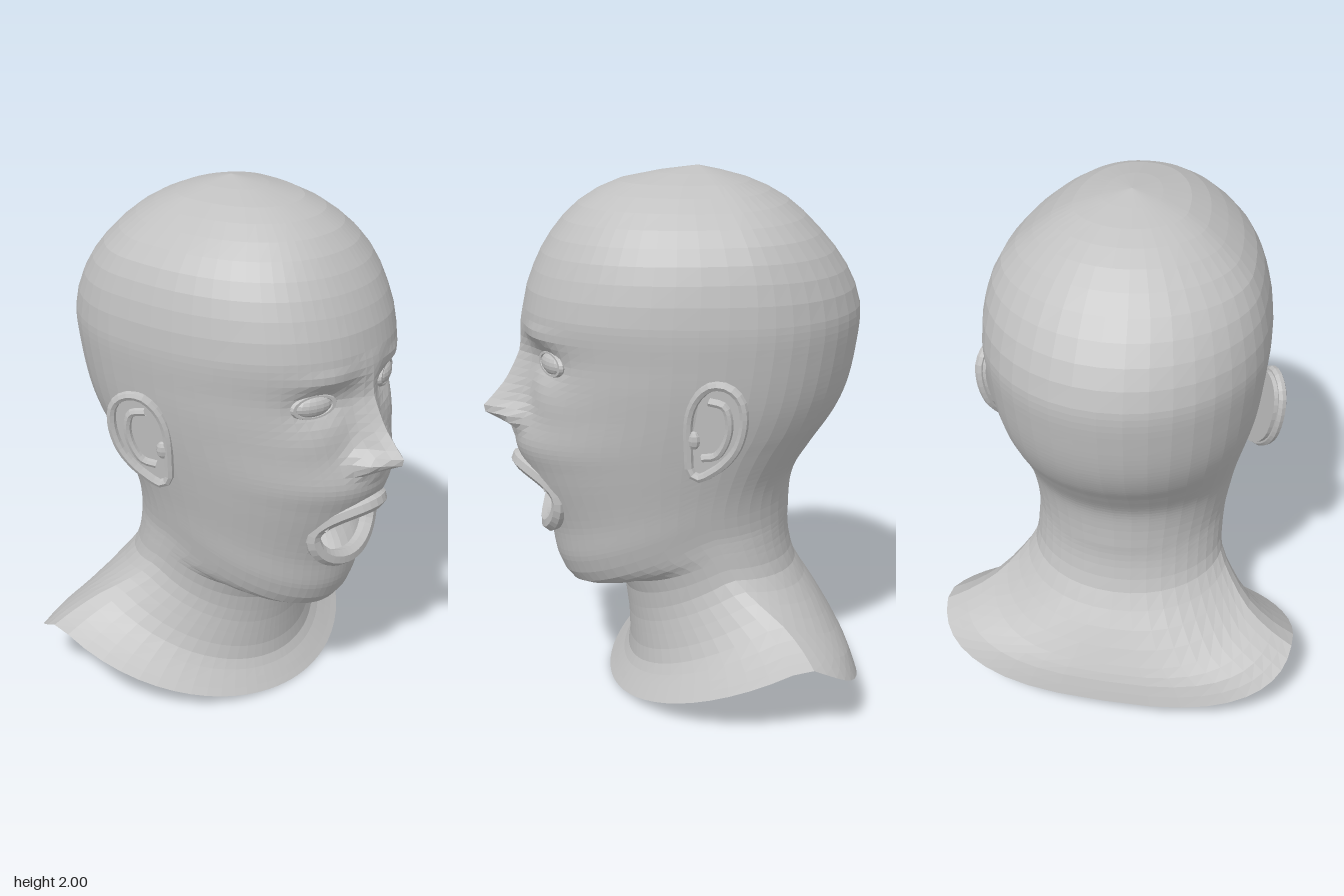
import * as THREE from 'three';

const V = (x, y, z) => new THREE.Vector3(x, y, z);
const skin = new THREE.MeshStandardMaterial({ color: 0xc0c0c0, flatShading: true, side: THREE.DoubleSide });
skin.name = 'pale grey skin';

// Tilted rings from collar to crown: front y, z | side x, y, z | back y, z
const RINGS = [
  [0.005, 0.24, 0.68, 0.30, -0.40, 0.12, -0.685],
  [0.05, 0.205, 0.60, 0.335, -0.38, 0.20, -0.66],
  [0.11, 0.165, 0.50, 0.39, -0.33, 0.26, -0.63],
  [0.22, 0.16, 0.42, 0.45, -0.25, 0.38, -0.56],
  [0.32, 0.168, 0.365, 0.52, -0.18, 0.50, -0.485],
  [0.44, 0.20, 0.358, 0.60, -0.14, 0.60, -0.458],
  [0.425, 0.30, 0.358, 0.64, -0.12, 0.66, -0.453],
  [0.435, 0.385, 0.36, 0.68, -0.10, 0.70, -0.455],
  [0.52, 0.435, 0.375, 0.76, -0.08, 0.78, -0.457],
  [0.66, 0.465, 0.395, 0.86, -0.09, 0.88, -0.475],
  [0.88, 0.55, 0.43, 1.00, -0.12, 1.00, -0.55],
  [1.00, 0.59, 0.45, 1.08, -0.15, 1.10, -0.62],
  [1.15, 0.545, 0.475, 1.20, -0.18, 1.20, -0.665],
  [1.33, 0.525, 0.495, 1.35, -0.20, 1.34, -0.695],
  [1.50, 0.545, 0.505, 1.50, -0.21, 1.50, -0.705],
  [1.64, 0.505, 0.485, 1.65, -0.21, 1.64, -0.65],
  [1.76, 0.44, 0.435, 1.77, -0.19, 1.77, -0.55],
  [1.87, 0.34, 0.33, 1.87, -0.16, 1.88, -0.43],
  [1.95, 0.19, 0.20, 1.95, -0.13, 1.95, -0.29],
  [2.00, -0.10, 0, 2.00, -0.10, 2.00, -0.10],
];
// Nose ridge: y, height above the face, half-width
const NOSE = [
  [1.0, 0, 0.05], [1.05, 0.025, 0.06], [1.08, 0.10, 0.06], [1.11, 0.16, 0.055],
  [1.22, 0.085, 0.05], [1.33, 0.04, 0.045], [1.4, 0.025, 0.06], [1.5, 0, 0.08],
];
const MOUTH = { y: 0.785, a: 0.168, b: 0.128 };

const bump = (x, y, cx, cy, sx, sy) => Math.exp(-(((x - cx) / sx) ** 2) - ((y - cy) / sy) ** 2);

function noseHeight(x, y) {
  for (let i = 1; i < NOSE.length; i++) {
    const [y0, h0, w0] = NOSE[i - 1], [y1, h1, w1] = NOSE[i];
    if (y < y0 || y > y1) continue;
    const t = (y - y0) / (y1 - y0);
    const w = w0 + (w1 - w0) * t;
    return (h0 + (h1 - h0) * t) * Math.exp(-((x / w) ** 2));
  }
  return 0;
}

// Raises nose, nostril wings, brows and cheekbones and sinks the eye sockets
function faceRelief(x, y) {
  const ax = Math.abs(x);
  return noseHeight(x, y)
    + 0.055 * bump(ax, y, 0.078, 1.095, 0.033, 0.038)
    - 0.04 * bump(ax, y, 0.18, 1.32, 0.085, 0.055)
    + 0.018 * bump(ax, y, 0.18, 1.425, 0.11, 0.035)
    + 0.015 * bump(ax, y, 0.25, 1.17, 0.1, 0.08);
}

function headGeometry() {
  const front = new THREE.CatmullRomCurve3(RINGS.map(r => V(0, r[0], r[1])));
  const side = new THREE.CatmullRomCurve3(RINGS.map(r => V(r[2], r[3], r[4])));
  const back = new THREE.CatmullRomCurve3(RINGS.map(r => V(0, r[5], r[6])));
  const last = RINGS.length - 1;

  // Finer rows across the face
  const rows = [];
  for (let i = 0; i < last; i++) {
    const n = RINGS[i][0] > 0.5 && RINGS[i][0] < 1.4 ? 6 : 2;
    for (let k = 0; k < n; k++) rows.push((i + k / n) / last);
  }
  rows.push(1);

  const half = 28, cols = half * 2;
  const pos = [], inHole = [], index = [];
  for (const t of rows) {
    const f = front.getPoint(t), s = side.getPoint(t), b = back.getPoint(t);
    for (let j = 0; j < cols; j++) {
      const u = (j <= half ? j : cols - j) / half;
      const angle = Math.PI * (0.45 * u + 0.55 * u * u);
      const c = Math.cos(angle), end = c > 0 ? f : b;
      let y = s.y + (end.y - s.y) * Math.abs(c);
      const p = c > 0 ? 1 - 0.1 * THREE.MathUtils.smoothstep(y, 1, 1.3)
        : 0.75 + 0.25 * THREE.MathUtils.smoothstep(y, 0.2, 0.55);
      let x = s.x * Math.max(0, Math.sin(angle)) ** p * (j <= half ? 1 : -1);
      let z = s.z + (end.z - s.z) * Math.abs(c) ** p;
      if (c > 0 && y > 0.95) z += faceRelief(x, y);
      // Open the mouth: inner points move out to the rim
      const d = Math.hypot(x / MOUTH.a, (y - MOUTH.y) / MOUTH.b);
      const hole = z > 0.3 && d < 1;
      if (hole) {
        const k = 1 / Math.max(d, 0.001);
        x *= k;
        y = MOUTH.y + (y - MOUTH.y) * k;
      }
      inHole.push(hole);
      pos.push(x, y, z);
    }
  }
  for (let i = 0; i < rows.length - 1; i++) {
    for (let j = 0; j < cols; j++) {
      const a = i * cols + j, b = i * cols + (j + 1) % cols;
      const c = b + cols, d = a + cols;
      if ([a, b, c, d].every(v => inHole[v])) continue;
      index.push(a, b, c, a, c, d);
    }
  }
  const g = new THREE.BufferGeometry();
  g.setAttribute('position', new THREE.Float32BufferAttribute(pos, 3));
  g.setIndex(index);
  g.computeVertexNormals();
  return g;
}

function mesh(name, geometry, parent) {
  const m = new THREE.Mesh(geometry, skin);
  m.name = name;
  parent.add(m);
  return m;
}

function tube(points, radius, closed, segments = 32) {
  return new THREE.TubeGeometry(new THREE.CatmullRomCurve3(points, closed), segments, radius, 7, closed);
}

// Eyeball with a lid rim, turned slightly outwards
function makeEye() {
  const eye = new THREE.Group();
  eye.name = 'eye';
  eye.position.set(0.2, 1.325, 0.448);
  eye.rotation.y = 0.4;
  mesh('eyeball', new THREE.SphereGeometry(1, 16, 10), eye).scale.set(0.076, 0.042, 0.034);
  const lids = mesh('eyelids', new THREE.TorusGeometry(0.078, 0.013, 6, 24), eye);
  lids.scale.set(1, 0.52, 1);
  lids.position.z = 0.008;
  return eye;
}

// Ear plate with outer rim, inner fold and tragus
function makeEar() {
  const ear = new THREE.Group();
  ear.name = 'ear';
  ear.position.set(0.46, 1.14, -0.005);
  ear.rotation.set(0, 1.1, -0.1, 'ZYX');
  const outline = [[0, 0.05], [0.03, 0.125], [0.08, 0.17], [0.14, 0.172], [0.185, 0.135], [0.2, 0.06],
    [0.18, -0.04], [0.135, -0.11], [0.085, -0.155], [0.04, -0.182], [0.01, -0.165], [0, -0.09]];
  const shape = new THREE.Shape(
    new THREE.SplineCurve([...outline, outline[0]].map(p => new THREE.Vector2(...p))).getPoints(32));
  const plate = mesh('earPlate', new THREE.ExtrudeGeometry(shape, { depth: 0.02, bevelEnabled: false }), ear);
  plate.position.z = -0.03;
  mesh('earRim', tube(outline.map(p => V(p[0], p[1], 0)), 0.017, true), ear);
  const fold = [[0.07, 0.11], [0.125, 0.1], [0.145, 0.04], [0.135, -0.03], [0.1, -0.09], [0.05, -0.105]];
  mesh('earFold', tube(fold.map(p => V(p[0], p[1], -0.006)), 0.015, false, 18), ear);
  const tragus = mesh('tragus', new THREE.SphereGeometry(1, 8, 6), ear);
  tragus.scale.set(0.025, 0.035, 0.018);
  tragus.position.set(0.018, -0.04, 0);
  return ear;
}

export function createModel() {
  const model = new THREE.Group();
  model.name = 'openMouthedBust';
  mesh('headAndNeck', headGeometry(), model);

  // Lips follow the rim, the upper one pushed forward
  const lipPath = [];
  for (let i = 0; i < 24; i++) {
    const a = (i / 24) * Math.PI * 2, s = Math.sin(a);
    lipPath.push(V(MOUTH.a * Math.cos(a), MOUTH.y + MOUTH.b * s, 0.435 + (s > 0 ? 0.14 : 0.035) * s * s));
  }
  mesh('lips', tube(lipPath, 0.032, true, 40), model);

  // Paired features
  for (const sign of [1, -1]) {
    const sideGroup = new THREE.Group();
    sideGroup.name = sign > 0 ? 'leftFeatures' : 'rightFeatures';
    sideGroup.scale.x = sign;
    sideGroup.add(makeEye(), makeEar());
    model.add(sideGroup);
  }
  return model;
}
